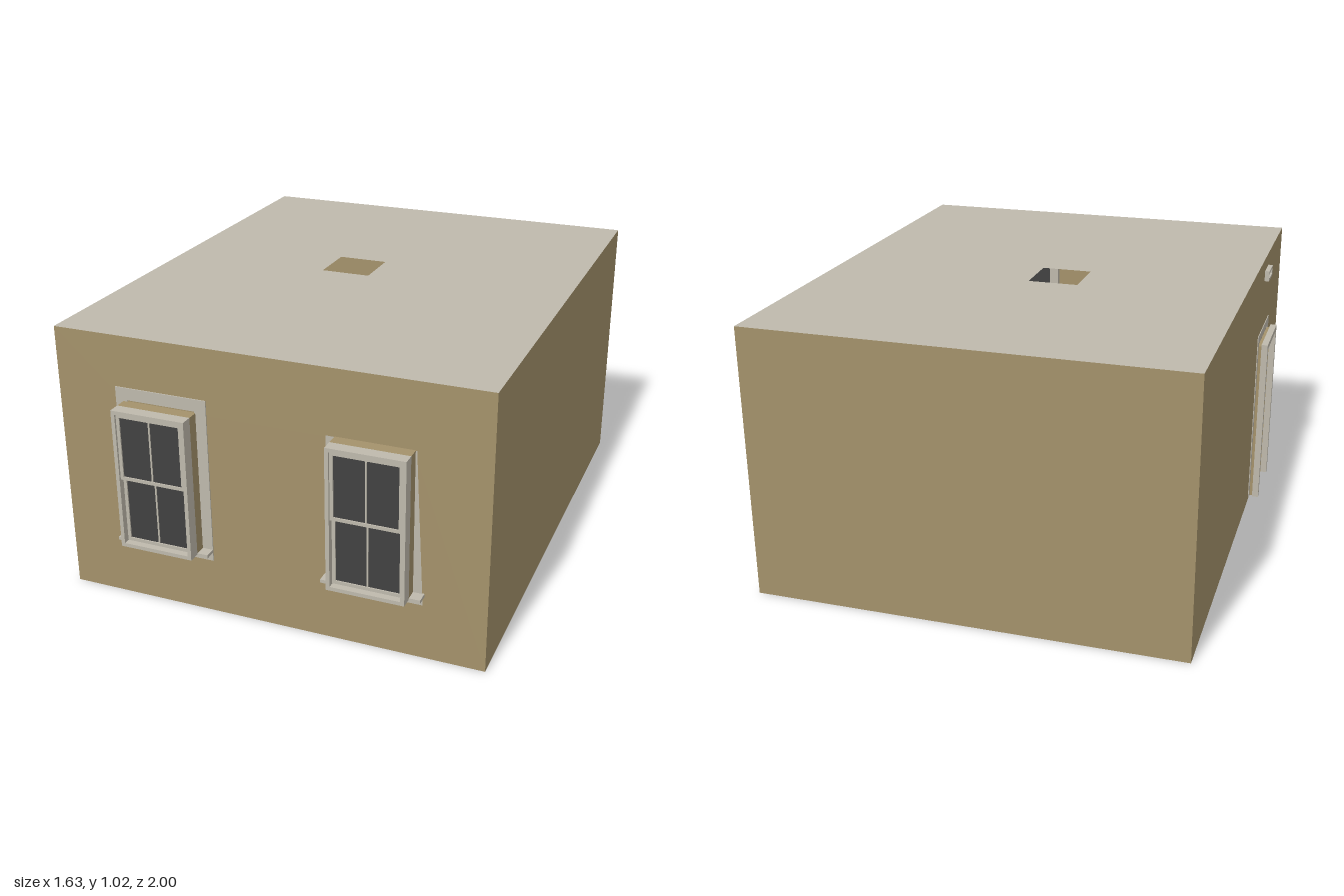
import * as THREE from 'three';

const mat = (color) => new THREE.MeshStandardMaterial({ color, side: THREE.DoubleSide });
const wallMat = mat(0xa4926b), trimMat = mat(0xbeb9ac), glassMat = mat(0x414141), floorMat = mat(0x7a5e4b);

// Room extents
const X0 = -0.78, X1 = 0.81, Z0 = -1, Z1 = 0.91, H = 1.02;

// Box given by its min and max corners
function box(parent, name, material, [x0, y0, z0], [x1, y1, z1]) {
  const m = new THREE.Mesh(new THREE.BoxGeometry(x1 - x0, y1 - y0, z1 - z0), material);
  m.position.set((x0 + x1) / 2, (y0 + y1) / 2, (z0 + z1) / 2);
  m.name = name;
  parent.add(m);
  return m;
}

// Rectangular ring (optionally open at the bottom) in the xy plane, z0 to z1
function frame(parent, name, material, [x0, y0, x1, y1], w, z0, z1, bottom = true) {
  const g = new THREE.Group();
  g.name = name;
  box(g, 'leftStile', material, [x0, y0, z0], [x0 + w, y1, z1]);
  box(g, 'rightStile', material, [x1 - w, y0, z0], [x1, y1, z1]);
  box(g, 'topRail', material, [x0 + w, y1 - w, z0], [x1 - w, y1, z1]);
  if (bottom) box(g, 'bottomRail', material, [x0 + w, y0, z0], [x1 - w, y0 + w, z1]);
  parent.add(g);
  return g;
}

// Flat sheet with rectangular holes, each [u0, v0, u1, v1]
function sheet(parent, name, material, [u0, v0, u1, v1], holes = []) {
  const rect = (P, a, b, c, d) => new P([[a, b], [c, b], [c, d], [a, d]].map((p) => new THREE.Vector2(...p)));
  const s = rect(THREE.Shape, u0, v0, u1, v1);
  for (const h of holes) s.holes.push(rect(THREE.Path, ...h));
  const m = new THREE.Mesh(new THREE.ShapeGeometry(s), material);
  m.name = name;
  parent.add(m);
  return m;
}

// Thin polygon lying just in front of the front wall
function flatTrim(parent, name, pts) {
  const s = new THREE.Shape(pts.map((p) => new THREE.Vector2(...p)));
  const m = new THREE.Mesh(new THREE.ShapeGeometry(s), trimMat);
  m.position.z = Z1 + 0.003;
  m.name = name;
  parent.add(m);
}

// Double-hung sash window centred on x = cx
function makeWindow(cx) {
  const g = new THREE.Group();
  g.name = 'window';
  const a = cx - 0.14, b = cx + 0.14;
  // Wall-coloured reveal behind the projecting frame
  frame(g, 'reveal', wallMat, [a, 0.25, b, 0.78], 0.008, Z1 - 0.01, 0.955);
  frame(g, 'outerFrame', trimMat, [a, 0.25, b, 0.78], 0.014, 0.955, 1.0);
  // Upper sash sits in front of the lower one
  const sashes = [['upperSash', 0.515, 0.765, 0.978], ['lowerSash', 0.265, 0.53, 0.962]];
  for (const [name, y0, y1, z] of sashes) {
    frame(g, name, trimMat, [a + 0.014, y0, b - 0.014, y1], 0.012, z, z + 0.014);
    box(g, 'glazingBar', trimMat, [cx - 0.003, y0, z + 0.002], [cx + 0.003, y1, z + 0.012]);
    box(g, 'pane', glassMat, [a + 0.02, y0 + 0.006, z + 0.005], [b - 0.02, y1 - 0.006, z + 0.009]);
  }
  // Sill with horns, inside casing and stool
  box(g, 'sill', trimMat, [cx - 0.18, 0.243, Z1 - 0.03], [cx + 0.18, 0.255, 0.955]);
  frame(g, 'insideCasing', trimMat, [cx - 0.175, 0.21, cx + 0.175, 0.83], 0.04, Z1 - 0.02, Z1 - 0.002);
  return g;
}

export function createModel() {
  const room = new THREE.Group();
  room.name = 'room';

  // Shell: floor, ceiling with hatch, four walls
  const floor = sheet(room, 'floor', floorMat, [X0, -Z1, X1, -Z0]);
  floor.rotation.x = -Math.PI / 2;
  const ceiling = sheet(room, 'ceiling', trimMat, [X0, -Z1, X1, -Z0], [[-0.16, 0.01, 0.03, 0.2]]);
  ceiling.rotation.x = -Math.PI / 2;
  ceiling.position.y = H;

  const windows = [-0.38, 0.41];
  const front = sheet(room, 'frontWall', wallMat, [X0, 0, X1, H],
    windows.map((x) => [x - 0.135, 0.255, x + 0.135, 0.775]));
  front.position.z = Z1;
  sheet(room, 'backWall', wallMat, [X0, 0, X1, H]).position.z = Z0;
  const left = sheet(room, 'leftWall', wallMat, [-Z1, 0, -Z0, H]);
  left.rotation.y = Math.PI / 2;
  left.position.x = X1;
  const right = sheet(room, 'rightWall', wallMat, [Z0, 0, Z1, H], [[0.31, 0.005, 0.55, 0.665]]);
  right.rotation.y = -Math.PI / 2;
  right.position.x = X0;

  // Windows and their casing on the outside of the front wall
  for (const x of windows) room.add(makeWindow(x));
  frame(room, 'frontCasing', trimMat, [-0.55, 0.21, -0.2, 0.83], 0.045, Z1 - 0.002, Z1 + 0.004);
  flatTrim(room, 'casingSide', [[0.238, 0.21], [0.275, 0.21], [0.275, 0.78], [0.238, 0.78]]);
  flatTrim(room, 'casingBottom', [[0.275, 0.21], [0.585, 0.21], [0.583, 0.25], [0.275, 0.25]]);
  flatTrim(room, 'casingSide', [[0.54, 0.25], [0.583, 0.25], [0.555, 0.78], [0.54, 0.78]]);

  // Doorway: built in the xy plane, then turned onto the right wall (local z points to -x)
  const door = new THREE.Group();
  door.name = 'doorway';
  frame(door, 'jamb', trimMat, [0.29, 0.01, 0.57, 0.685], 0.022, 0.015, 0.04, false);
  frame(door, 'reveal', wallMat, [0.3, 0.01, 0.56, 0.675], 0.01, -0.005, 0.015, false);
  frame(door, 'outsideCasing', trimMat, [0.275, 0.01, 0.585, 0.72], 0.035, 0, 0.003, false);
  frame(door, 'insideCasing', trimMat, [0.26, 0, 0.6, 0.72], 0.045, -0.02, -0.002, false);
  // Small wall box above the door
  frame(door, 'ventFrame', trimMat, [0.38, 0.925, 0.48, 0.967], 0.01, 0, 0.018);
  box(door, 'ventPlate', wallMat, [0.385, 0.93, 0], [0.475, 0.962, 0.008]);
  door.rotation.y = -Math.PI / 2;
  door.position.x = X0;
  room.add(door);

  // Inside baseboard and crown moulding; the baseboard breaks at the door
  const e = 0.002;
  for (const [name, y0, y1, t] of [['baseboard', 0.002, 0.08, 0.012], ['crown', 0.95, 1.017, 0.03]]) {
    box(room, name, trimMat, [X0 + e, y0, Z1 - t], [X1 - e, y1, Z1 - e]);
    box(room, name, trimMat, [X0 + e, y0, Z0 + e], [X1 - e, y1, Z0 + t]);
    box(room, name, trimMat, [X1 - t, y0, Z0 + t], [X1 - e, y1, Z1 - t]);
    const runs = name === 'crown' ? [[Z0 + t, Z1 - t]] : [[Z0 + t, 0.26], [0.6, Z1 - t]];
    for (const [a, b] of runs) box(room, name, trimMat, [X0 + e, y0, a], [X0 + t, y1, b]);
  }
  return room;
}
